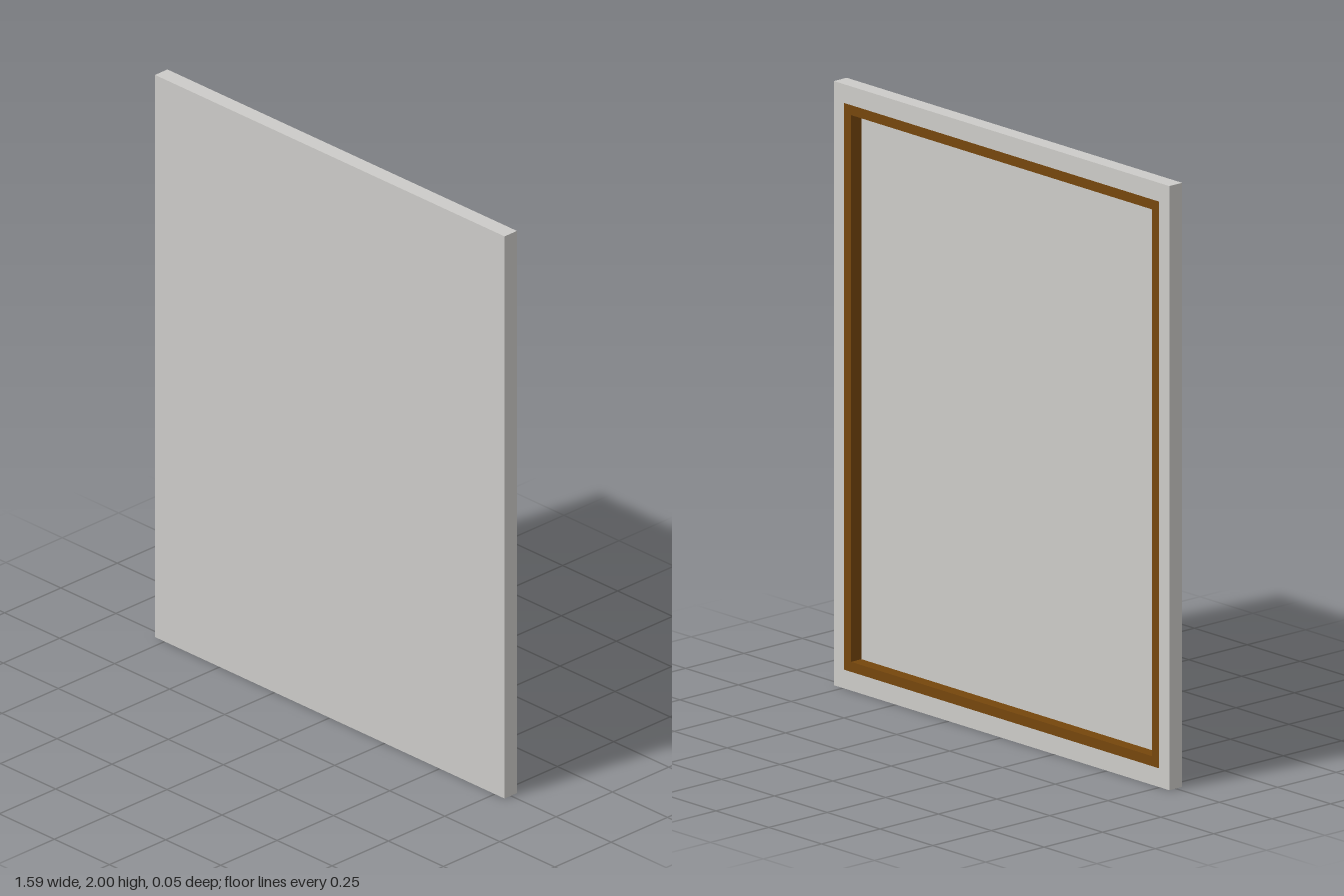
import * as THREE from 'three';

const W = 1.588, H = 2, D = 0.055;   // overall size
const SKIN = 0.01;                   // thickness of the front panel
const FOLD_X = 0.048, FOLD_Y = 0.062; // width of the border on the back
const BAR = 0.033;                   // visible width of the wooden bars

// Rectangular ring lying in the xy plane, extruded towards +z
function ring(w, h, barX, barY, depth) {
  const rect = (path, rw, rh) => path
    .moveTo(-rw / 2, -rh / 2).lineTo(rw / 2, -rh / 2)
    .lineTo(rw / 2, rh / 2).lineTo(-rw / 2, rh / 2).closePath();
  const shape = new THREE.Shape();
  const hole = new THREE.Path();
  rect(shape, w, h);
  rect(hole, w - 2 * barX, h - 2 * barY);
  shape.holes.push(hole);
  return new THREE.ExtrudeGeometry(shape, { depth, bevelEnabled: false });
}

export function createModel() {
  const group = new THREE.Group();
  group.name = 'stretchedCanvas';

  const canvas = new THREE.MeshStandardMaterial({ color: 0xcccbc8 });
  canvas.name = 'canvasGrey';
  const wood = new THREE.MeshStandardMaterial({ color: 0x75460c });
  wood.name = 'stretcherWood';

  const add = (name, geometry, material, z) => {
    const mesh = new THREE.Mesh(geometry, material);
    mesh.name = name;
    mesh.position.set(0, H / 2, z);
    group.add(mesh);
  };

  // Front sheet
  add('frontPanel', new THREE.BoxGeometry(W, H, SKIN), canvas, D / 2 - SKIN / 2);

  // Cloth wrapped round the edges and folded onto the back
  add('foldedBorder', ring(W, H, FOLD_X, FOLD_Y, D - SKIN), canvas, -D / 2);

  // Wooden stretcher bars inside the fold
  add('stretcherFrame',
    ring(W - 2 * FOLD_X, H - 2 * FOLD_Y, BAR, BAR, D - SKIN), wood, -D / 2);

  return group;
}
